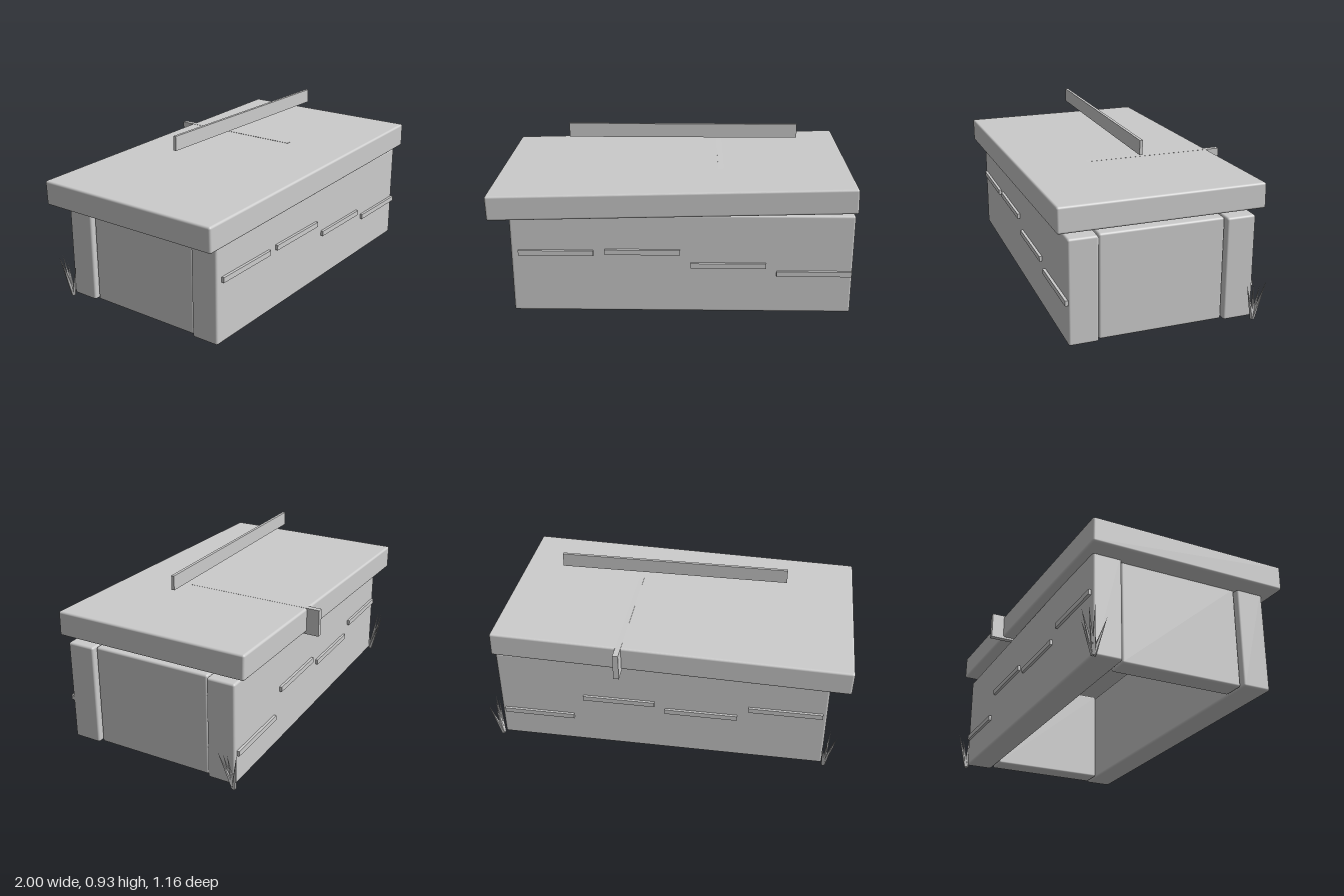
import * as THREE from 'three';
import { RoundedBoxGeometry } from 'three/addons/geometries/RoundedBoxGeometry.js';

const stone = new THREE.MeshStandardMaterial({ color: 0xcccccc });
stone.name = 'stone grey';

// Box given by its min and max corners; a radius rounds the edges
function block(name, min, max, radius = 0) {
  const s = max.map((v, i) => v - min[i]);
  const geo = radius
    ? new RoundedBoxGeometry(s[0], s[1], s[2], 3, radius)
    : new THREE.BoxGeometry(s[0], s[1], s[2]);
  const mesh = new THREE.Mesh(geo, stone);
  mesh.name = name;
  mesh.position.set(...max.map((v, i) => (v + min[i]) / 2));
  return mesh;
}

// Slim pointed blades fanning out from one base point
function grassTuft(name, base, tips) {
  const tuft = new THREE.Group();
  tuft.name = name;
  const foot = new THREE.Vector3(...base);
  for (const tip of tips) {
    const dir = new THREE.Vector3(...tip).sub(foot);
    const len = dir.length();
    const geo = new THREE.ConeGeometry(0.013, len, 5).translate(0, len / 2, 0).toNonIndexed();
    geo.computeVertexNormals();
    const blade = new THREE.Mesh(geo, stone);
    blade.name = 'grassBlade';
    blade.position.copy(foot);
    blade.quaternion.setFromUnitVectors(new THREE.Vector3(0, 1, 0), dir.normalize());
    tuft.add(blade);
  }
  return tuft;
}

export function createModel() {
  const model = new THREE.Group();
  model.name = 'stoneChest';

  // Open-bottomed chest: long walls, with the end walls set slightly in
  const r = 0.012;
  model.add(
    block('frontWall', [-0.89, 0.01, 0.374], [0.93, 0.57, 0.53], r),
    block('backWall', [-0.89, 0.01, -0.458], [0.93, 0.57, -0.302], r),
    block('rightEndWall', [-0.87, 0.01, -0.296], [-0.75, 0.57, 0.368], r),
    block('leftEndWall', [0.79, 0.01, -0.296], [0.91, 0.57, 0.368], r)
  );

  // Slab lid resting at a slight tilt
  const lid = block('lid', [-0.999, 0.575, -0.51], [0.932, 0.71, 0.58], r);
  lid.rotation.z = 0.0262;
  model.add(lid);

  // Thin raised strips on the long walls: [start x, centre y]
  const strips = (name, list, z0, z1) => list.forEach(([x, y]) =>
    model.add(block(name, [x, y - 0.014, z0], [x + 0.4, y + 0.014, z1])));
  strips('frontStrip', [[-0.85, 0.355], [-0.39, 0.361], [0.068, 0.286], [0.525, 0.241]], 0.52, 0.545);
  strips('backStrip', [[0.51, 0.184], [0.05, 0.323], [-0.408, 0.283], [-0.868, 0.348]], -0.472, -0.45);

  // Ridge plate above the lid, with bars set into the lid
  model.add(
    block('ridgePlate', [-0.615, 0.855, 0.046], [0.652, 0.932, 0.062]),
    block('lidPeg', [0.216, 0.57, -0.58], [0.246, 0.718, 0.2]),
    block('lidCrossbar', [0.01, 0.573, 0.046], [0.45, 0.65, 0.062])
  );

  // Grass at the two back corners
  model.add(
    grassTuft('leftGrass', [0.945, 0.003, -0.46], [
      [0.995, 0.232, -0.503], [0.99, 0.22, -0.395], [0.965, 0.2, -0.41],
      [0.96, 0.19, -0.485], [0.975, 0.205, -0.44]]),
    grassTuft('rightGrass', [-0.9, 0.003, -0.46], [
      [-0.96, 0.232, -0.48], [-0.945, 0.228, -0.505], [-0.905, 0.232, -0.526],
      [-0.925, 0.2, -0.4], [-0.88, 0.18, -0.515]])
  );

  return model;
}
